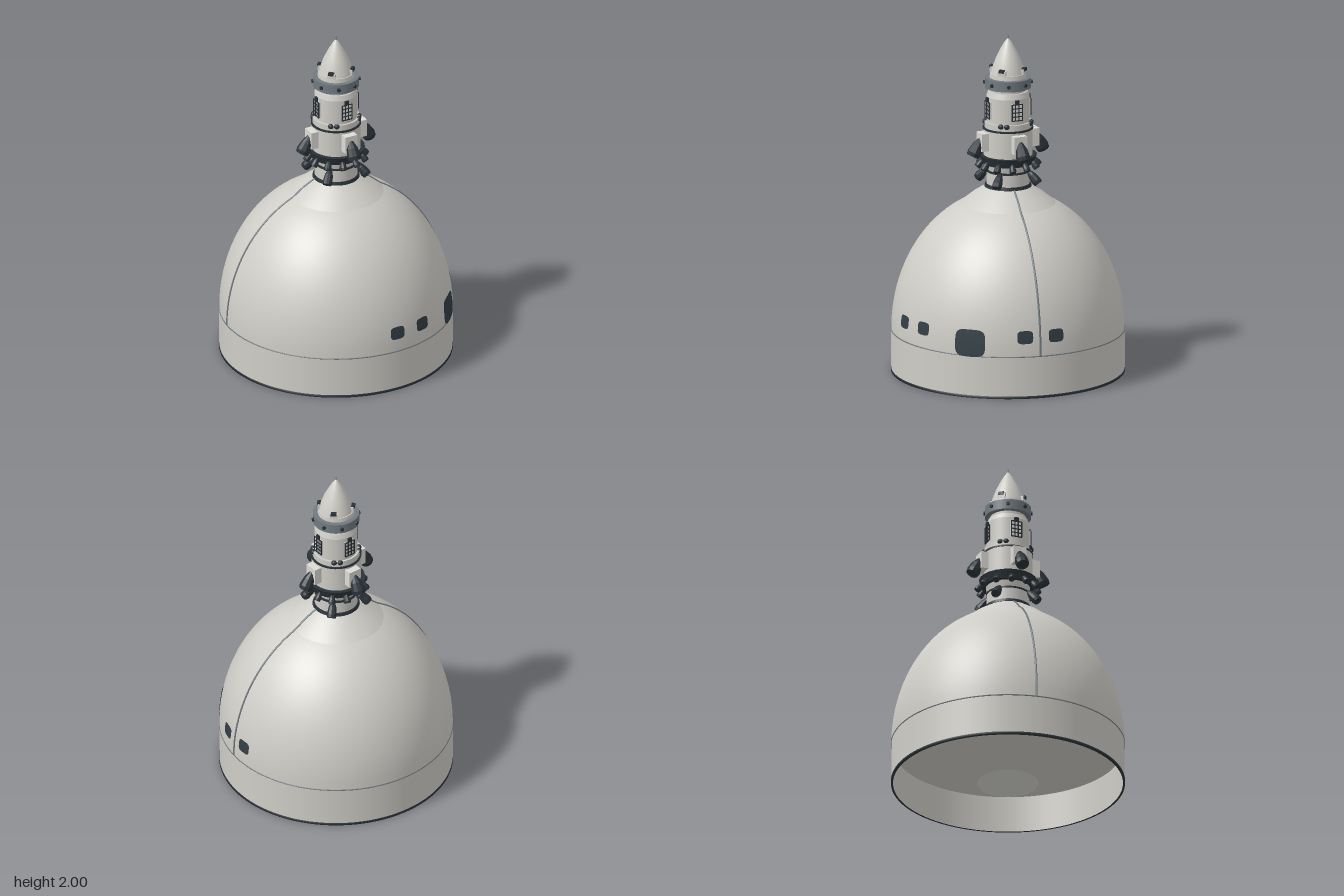
import * as THREE from 'three';

const mat = (name, color, extra = {}) =>
  Object.assign(new THREE.MeshStandardMaterial({ color, ...extra }), { name });
const V2 = (x, y) => new THREE.Vector2(x, y);
const rad = THREE.MathUtils.degToRad;

// dome radius at a given height
const domeRadius = (y) => 0.675 * Math.sqrt(1 - (Math.max(0, y - 0.25) / 0.82) ** 2);
const QUARTERS = [0, 90, 180, 270];
const TURN = -13; // the tower is twisted a little about its axis

export function createModel() {
  const root = new THREE.Group();
  root.name = 'rocketNoseFairing';
  const shell = mat('shell', 0xcfcdc7);
  const panel = mat('palePanel', 0xdcdbd5);
  const dark = mat('darkMetal', 0x2a3238);
  const glass = mat('darkHatch', 0x323e45, { side: THREE.DoubleSide });
  const grey = mat('greyMetal', 0x717a81);

  const add = (parent, name, geometry, material, x = 0, y = 0, z = 0) => {
    const mesh = new THREE.Mesh(geometry, material);
    mesh.name = name;
    mesh.position.set(x, y, z);
    parent.add(mesh);
    return mesh;
  };
  const turned = (name, pts, material, segments = 96) =>
    add(root, name, new THREE.LatheGeometry(pts.map(p => V2(...p)), segments), material);
  // closed round section between two heights
  const band = (name, y0, y1, r0, r1, material, segments = 48) =>
    add(root, name, new THREE.CylinderGeometry(r1, r0, y1 - y0, segments), material, 0, (y0 + y1) / 2);
  // group turned about the axis, so that its +z points outwards
  const spoke = (name, degrees) => {
    const g = new THREE.Group();
    g.name = name;
    g.rotation.y = rad(degrees);
    root.add(g);
    return g;
  };

  // Skirt, dome and recessed underside
  turned('skirt', [[0.675, 0.012], [0.675, 0.25]], shell);
  turned('skirtInside', [[0.665, 0.22], [0.665, 0]], shell);
  turned('undersideCone', [[0.18, 0.0], [0.665, 0.22]], shell);
  const disc = add(root, 'undersideDisc', new THREE.CircleGeometry(0.18, 48), panel, 0, 0.001);
  disc.rotation.x = Math.PI / 2;
  turned('baseRim', [[0.665, 0], [0.677, 0], [0.677, 0.015], [0.67, 0.015]], dark);
  const domePts = [];
  for (let i = 0; i <= 24; i++) {
    const y = 0.25 + 0.75 * Math.sin((i / 24) * Math.PI / 2);
    domePts.push([domeRadius(y), y]);
  }
  domePts.push([0.205, 1.055], [0.125, 1.105]);
  turned('dome', domePts, shell);
  turned('skirtSeam', [[0.675, 0.246], [0.678, 0.247], [0.678, 0.252], [0.674, 0.253]], grey);

  // Two split lines running up the dome
  for (const degrees of [69, 249]) {
    const g = spoke('splitLine', degrees);
    const path = new THREE.CatmullRomCurve3(
      domePts.filter((p, i) => i % 2 === 0 || i > 23).map(([r, y]) => new THREE.Vector3(0, y, r)));
    add(g, 'splitStrip', new THREE.TubeGeometry(path, 48, 0.006, 6), grey);
  }

  // Hatches: rounded patches wrapped on the dome
  const hatch = (degrees, y, w, h) => {
    const geo = new THREE.CircleGeometry(1, 24);
    const p = geo.attributes.position;
    const squash = (v) => Math.sign(v) * Math.abs(v) ** 0.5;
    for (let i = 0; i < p.count; i++) {
      const py = y + squash(p.getY(i)) * h / 2;
      const r = domeRadius(py) + 0.004;
      const a = rad(degrees) + squash(p.getX(i)) * w / 2 / r;
      p.setXYZ(i, r * Math.sin(a), py, r * Math.cos(a));
    }
    geo.computeVertexNormals();
    add(root, 'hatch', geo, glass);
  };
  hatch(33.7, 0.325, 0.185, 0.16);
  for (const a of [-43.6, -27.7, 27.7, 43.6]) hatch(33.7 + a, 0.365, 0.093, 0.076);

  // Tower sections from the neck up
  band('neckRing', 1.1, 1.118, 0.137, 0.132, dark);
  band('neck', 1.118, 1.19, 0.125, 0.125, shell);
  band('neckSeam', 1.19, 1.2, 0.128, 0.128, dark);
  band('upperNeck', 1.2, 1.245, 0.118, 0.13, shell);
  band('nozzleRing', 1.24, 1.29, 0.15, 0.168, dark, 24);
  band('lowerMotor', 1.29, 1.445, 0.143, 0.143, shell);
  band('motorSeam', 1.445, 1.455, 0.146, 0.146, dark);
  band('motorCollar', 1.455, 1.49, 0.137, 0.137, shell);
  band('upperMotor', 1.49, 1.64, 0.125, 0.125, shell);
  band('upperTaper', 1.64, 1.67, 0.125, 0.115, shell);
  band('capNeck', 1.67, 1.695, 0.104, 0.104, shell);
  band('capRing', 1.69, 1.75, 0.134, 0.134, grey);
  band('capBase', 1.75, 1.775, 0.107, 0.104, shell);
  turned('noseCone', [[0.1, 1.77], [0.09, 1.81], [0.07, 1.865], [0.043, 1.92], [0.02, 1.96], [0.004, 1.98]], shell, 48);
  band('noseSpike', 1.97, 2.0, 0.004, 0.002, grey, 8);

  // Faceted nozzle bell; its mouth tilts outwards
  const bell = new THREE.LatheGeometry(
    [[0, -0.46], [0.28, -0.46], [0.34, -0.5], [0.38, -0.3], [0.3, 0.12], [0.12, 0.5], [0, 0.5]].map(p => V2(...p)), 10
  ).toNonIndexed();
  bell.computeVertexNormals();
  const nozzle = (g, name, r, y, length, width, tilt) => {
    const m = add(g, name, bell, dark, 0, y, r);
    m.scale.set(width / 0.76, length, width / 0.76);
    m.rotation.x = -rad(tilt);
  };

  for (const q of QUARTERS) {
    // Side pods with large nozzles
    const pod = spoke('motorPod', q + TURN);
    add(pod, 'podBox', new THREE.BoxGeometry(0.08, 0.105, 0.06), panel, 0, 1.38, 0.153);
    nozzle(pod, 'largeNozzle', 0.198, 1.347, 0.115, 0.082, 28);

    // Barred grille on the upper motor
    const grille = spoke('grille', q + TURN);
    add(grille, 'grillePlate', new THREE.BoxGeometry(0.066, 0.1, 0.012), panel, 0, 1.565, 0.123);
    for (let i = 0; i < 4; i++)
      add(grille, 'uprightBar', new THREE.BoxGeometry(0.005, 0.097, 0.006), dark, -0.032 + i * 0.0213, 1.565, 0.131);
    for (let i = 0; i < 5; i++)
      add(grille, 'crossBar', new THREE.BoxGeometry(0.068, 0.005, 0.006), dark, 0, 1.517 + i * 0.024, 0.131);
    add(grille, 'grilleKnob', new THREE.BoxGeometry(0.024, 0.026, 0.02), dark, 0, 1.625, 0.126);

    // Lower diagonal nozzles and nose blocks
    const diagonal = spoke('diagonalNozzle', q + TURN + 45);
    nozzle(diagonal, 'lowerNozzle', 0.155, 1.165, 0.1, 0.058, 42);
    const block = spoke('noseBlock', q + TURN + 45);
    add(block, 'blockBase', new THREE.BoxGeometry(0.05, 0.03, 0.025), shell, 0, 1.79, 0.092);
    add(block, 'blockTip', new THREE.BoxGeometry(0.032, 0.018, 0.02), dark, 0, 1.804, 0.1);

    // Paired studs on the motor collar
    for (const a of [35, 50]) {
      const stud = add(spoke('collarStud', q + a), 'stud', new THREE.SphereGeometry(0.017, 10, 8), dark, 0, 1.482, 0.135);
      stud.scale.set(1, 0.9, 0.8);
    }
  }

  // Small nozzles hanging under the ring
  for (let i = 0; i < 12; i++)
    nozzle(spoke('ringNozzle', TURN + 15 + i * 30), 'smallNozzle', 0.162, 1.243, 0.062, 0.042, 38);

  // Studs round the cap ring
  for (let i = 0; i < 8; i++) {
    const stud = add(spoke('capStud', i * 45 + 10), 'stud', new THREE.CylinderGeometry(0.011, 0.011, 0.014, 10), dark, 0, 1.72, 0.136);
    stud.rotation.x = Math.PI / 2;
  }
  return root;
}
